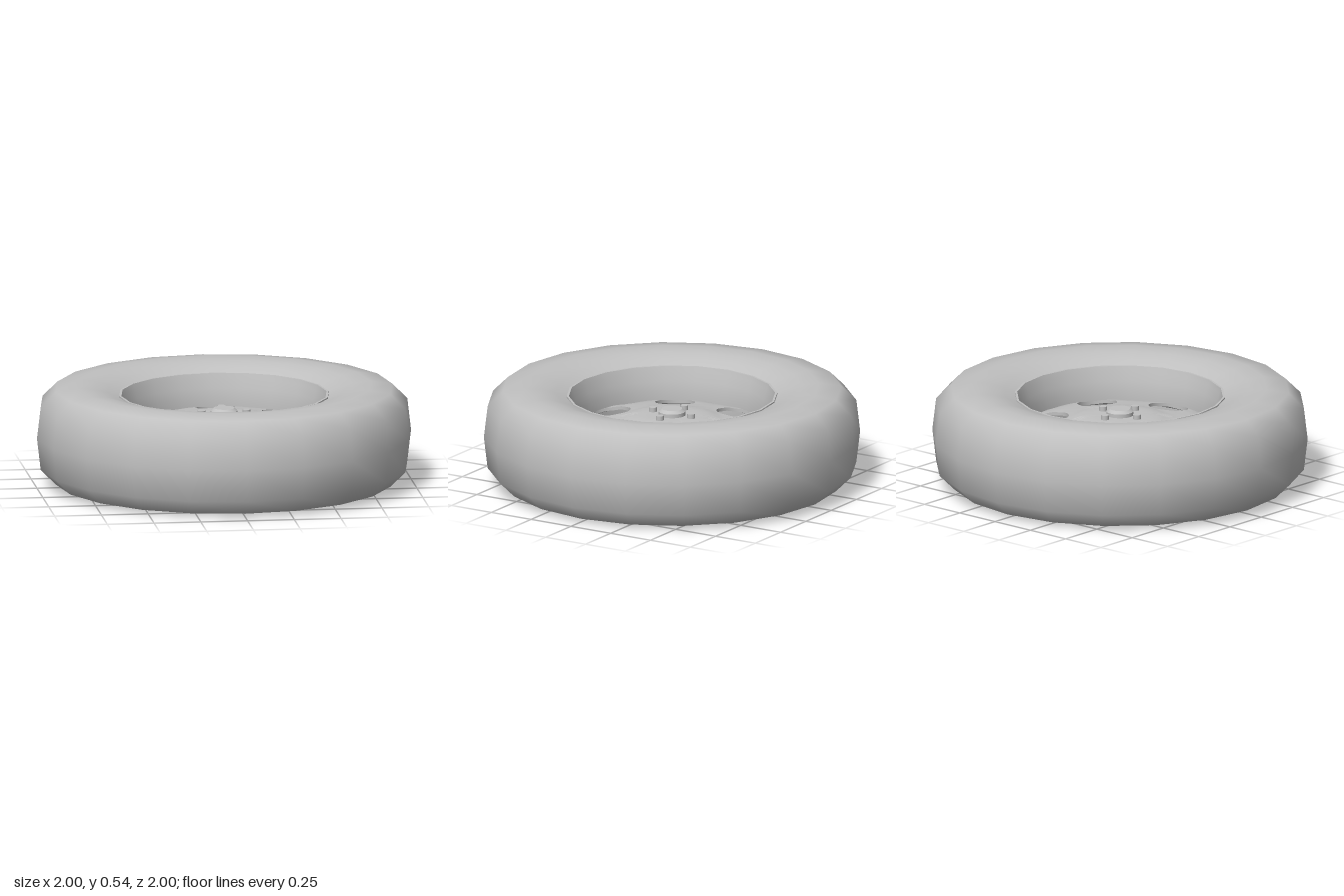
import * as THREE from 'three';
import { toCreasedNormals } from 'three/addons/utils/BufferGeometryUtils.js';

const MID = 0.268; // height of the wheel's middle plane

function lathe(points, segments, crease) {
  const g = new THREE.LatheGeometry(points.map(([r, y]) => new THREE.Vector2(r, y)), segments);
  return crease ? toCreasedNormals(g, crease) : g;
}

// Height of the dished disc at a given radius
const DISH = [[0, 0.375], [0.15, 0.375], [0.2, 0.37], [0.28, 0.35], [0.385, 0.338], [0.46, 0.325], [0.52, 0.303]];
function dishHeight(r) {
  for (let i = 1; i < DISH.length; i++) {
    const [r0, y0] = DISH[i - 1], [r1, y1] = DISH[i];
    if (r <= r1) return y0 + (y1 - y0) * THREE.MathUtils.smoothstep(r, r0, r1);
  }
  return DISH[DISH.length - 1][1];
}

// Disc made of six wedges, each a grid spreading from a round hole to the wedge border
function discGeometry() {
  const K = 32, T = 8, inner = 0.05, outer = 0.515, thick = 0.018;
  const pos = [];
  const tri = (a, b, c) => pos.push(...a, ...b, ...c);
  const quad = (a, b, c, d) => { tri(a, b, c); tri(b, d, c); };
  for (let w = 0; w < 6; w++) {
    const mid = Math.PI / 6 + w * Math.PI / 3;
    const point = (k, t, drop) => {
      const s = (k % K) / K * Math.PI * 2;
      const m = Math.max(Math.abs(Math.cos(s)), Math.abs(Math.sin(s)));
      const r = (inner + outer) / 2 + Math.cos(s) / m * (outer - inner) / 2;
      const a = mid + Math.sin(s) / m * Math.PI / 6;
      const hx = 0.385 * Math.cos(mid) + 0.106 * Math.cos(s + mid);
      const hz = 0.385 * Math.sin(mid) + 0.106 * Math.sin(s + mid);
      const x = hx + (r * Math.cos(a) - hx) * t / T;
      const z = hz + (r * Math.sin(a) - hz) * t / T;
      return [x, dishHeight(Math.hypot(x, z)) - drop, z];
    };
    for (let k = 0; k < K; k++) {
      for (let t = 0; t < T; t++) {
        quad(point(k, t, 0), point(k + 1, t, 0), point(k, t + 1, 0), point(k + 1, t + 1, 0));
        quad(point(k + 1, t, thick), point(k, t, thick), point(k + 1, t + 1, thick), point(k, t + 1, thick));
      }
      // wall of the hole
      quad(point(k + 1, 0, 0), point(k, 0, 0), point(k + 1, 0, thick), point(k, 0, thick));
    }
  }
  const g = new THREE.BufferGeometry();
  g.setAttribute('position', new THREE.Float32BufferAttribute(pos, 3));
  return toCreasedNormals(g, 0.7);
}

export function createModel() {
  const wheel = new THREE.Group();
  wheel.name = 'wheel';
  const grey = new THREE.MeshStandardMaterial({ color: 0xc0c0c0 });
  grey.name = 'light grey';
  const add = (name, geometry, parent = wheel) => {
    const mesh = new THREE.Mesh(geometry, grey);
    mesh.name = name;
    parent.add(mesh);
    return mesh;
  };

  // Tyre: half profile mirrored about the middle plane
  const half = [[0.56, 0.212], [0.62, 0.238], [0.69, 0.258], [0.78, 0.268], [0.9, 0.25], [0.98, 0.17]];
  const profile = [
    ...half.map(([r, d]) => [r, MID - d]),
    [1, MID],
    ...half.slice().reverse().map(([r, d]) => [r, MID + d]),
  ];
  add('tyre', lathe(profile, 20));

  // Rim: inward-facing barrel with a small lip at both ends
  add('rim', lathe([
    [0.562, 0.47], [0.56, 0.487], [0.548, 0.487], [0.54, 0.46], [0.525, 0.41], [0.515, 0.36], [0.512, 0.3],
    [0.515, 0.2], [0.53, 0.11], [0.548, 0.049], [0.56, 0.049], [0.562, 0.066],
  ], 20, 0.7));

  add('disc', discGeometry());

  // Hub with a chamfered cap
  add('hub', lathe([
    [0, 0.35], [0.065, 0.35], [0.072, 0.358], [0.072, 0.395], [0.055, 0.41], [0, 0.41],
  ], 24, 0.6));

  // Four bolts around the hub
  const bolts = new THREE.Group();
  bolts.name = 'bolts';
  wheel.add(bolts);
  for (let i = 0; i < 4; i++) {
    const a = i * Math.PI / 2;
    add('bolt', new THREE.CylinderGeometry(0.021, 0.021, 0.03, 16), bolts)
      .position.set(0.12 * Math.cos(a), 0.384, 0.12 * Math.sin(a));
  }
  return wheel;
}
